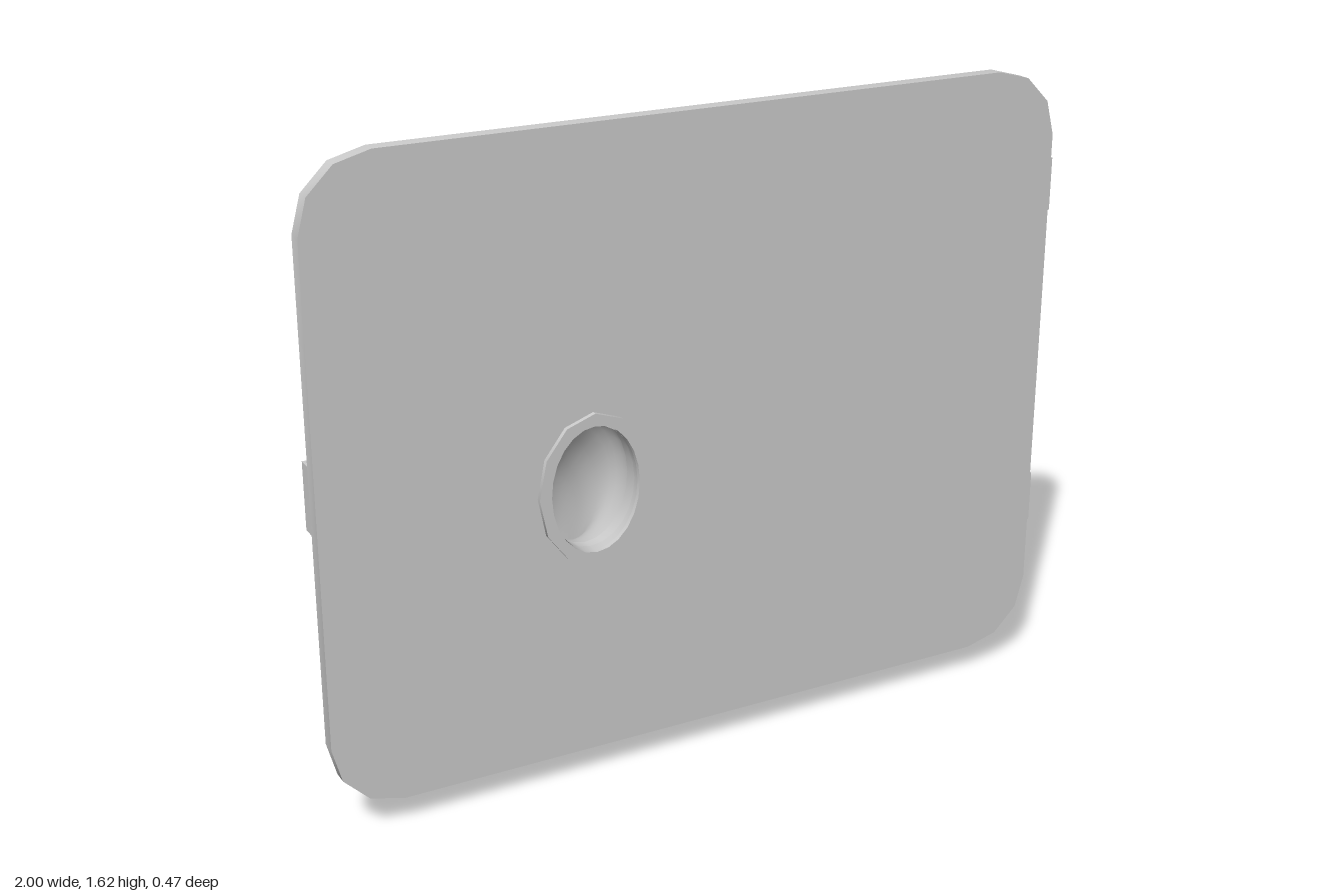
import * as THREE from 'three';
import { toCreasedNormals } from 'three/addons/utils/BufferGeometryUtils.js';

const CX = -0.325, CY = 0.757; // centre of the round opening

const grey = (side = THREE.FrontSide) => new THREE.MeshStandardMaterial({ color: 0xcccccc, side });

function part(name, geometry, side) {
  const mesh = new THREE.Mesh(geometry, grey(side));
  mesh.name = name;
  return mesh;
}

function ellipse(rx, ry, n, cx = CX, cy = CY) {
  return Array.from({ length: n }, (_, i) => {
    const a = (i / n) * Math.PI * 2;
    return new THREE.Vector2(cx + rx * Math.cos(a), cy + ry * Math.sin(a));
  });
}

// Plate with a hole, running from z0 to z1
function plate(outline, hole, z0, z1) {
  const shape = new THREE.Shape(outline);
  if (hole) shape.holes.push(new THREE.Path(hole));
  const g = new THREE.ExtrudeGeometry(shape, { depth: z1 - z0, bevelEnabled: false });
  g.translate(0, 0, z0);
  return toCreasedNormals(g, 0.6);
}

// Rectangle whose corners are arcs of a few straight steps
function roundedOutline(x0, y0, x1, y1, r, steps) {
  const pts = [];
  const corners = [[x1 - r, y1 - r], [x0 + r, y1 - r], [x0 + r, y0 + r], [x1 - r, y0 + r]];
  corners.forEach(([x, y], c) => {
    for (let i = 0; i <= steps; i++) {
      const a = (c + i / steps) * Math.PI / 2;
      pts.push(new THREE.Vector2(x + r * Math.cos(a), y + r * Math.sin(a)));
    }
  });
  return pts;
}

// Hollow curved horn lofted through elliptical sections
function hornGeometry() {
  // top z, top y, bottom z, bottom y, centre x, half width
  const sections = [
    [0.23, 0.913, 0.23, 0.6, -0.325, 0.113],
    [0.15, 0.913, 0.15, 0.592, -0.325, 0.115],
    [0.08, 0.85, 0.09, 0.565, -0.33, 0.1],
    [0, 0.77, 0.03, 0.5, -0.325, 0.082],
    [-0.07, 0.68, -0.04, 0.42, -0.315, 0.068],
    [-0.13, 0.55, -0.1, 0.33, -0.307, 0.056],
    [-0.19, 0.37, -0.15, 0.22, -0.3, 0.038],
    [-0.22, 0.2, -0.185, 0.12, -0.305, 0.025],
    [-0.235, 0.002, -0.213, 0, -0.31, 0.011],
  ];
  const curve = (f) => new THREE.CatmullRomCurve3(sections.map(f), false, 'catmullrom');
  const tops = curve((s) => new THREE.Vector3(s[4], s[1], s[0]));
  const bottoms = curve((s) => new THREE.Vector3(s[4], s[3], s[2]));
  const widths = curve((s, i) => new THREE.Vector3(i, s[5], 0));
  const rows = 24, sides = 24, pos = [], index = [];
  for (let i = 0; i <= rows + 1; i++) {
    const t = Math.min(i / rows, 1);
    const top = tops.getPoint(t), bottom = bottoms.getPoint(t);
    const mid = top.clone().add(bottom).multiplyScalar(0.5);
    const half = top.sub(mid);
    const k = i > rows ? 0 : 1; // the last row closes the tip
    const w = widths.getPoint(t).y;
    for (let j = 0; j < sides; j++) {
      const a = (j / sides) * Math.PI * 2;
      const p = mid.clone().addScaledVector(half, k * Math.cos(a));
      pos.push(p.x + k * w * Math.sin(a), p.y, p.z);
    }
  }
  for (let i = 0; i <= rows; i++) {
    for (let j = 0; j < sides; j++) {
      const a = i * sides + j, b = i * sides + ((j + 1) % sides);
      index.push(a, b, a + sides);
      if (i < rows) index.push(b, b + sides, a + sides);
    }
  }
  const g = new THREE.BufferGeometry();
  g.setAttribute('position', new THREE.Float32BufferAttribute(pos, 3));
  g.setIndex(index);
  return toCreasedNormals(g, 0.8);
}

// Hinge: sloping leaf on the back of the panel with a small tongue at the edge
function hinge(name, y) {
  const group = new THREE.Group();
  group.name = name;
  const profile = [[0.765, 0.192], [0.765, 0.178], [0.965, 0.158], [0.965, 0.188]]
    .map(([x, z]) => new THREE.Vector2(x, -z));
  const leaf = new THREE.ExtrudeGeometry(new THREE.Shape(profile), { depth: 0.172, bevelEnabled: false });
  leaf.rotateX(-Math.PI / 2);
  leaf.translate(0, y - 0.086, 0);
  const tongue = new THREE.BoxGeometry(0.045, 0.136, 0.022);
  tongue.translate(0.9775, y, 0.166);
  group.add(part('hingeLeaf', leaf), part('hingeTongue', tongue));
  return group;
}

export function createModel() {
  const model = new THREE.Group();
  model.name = 'hatchWithHorn';

  // Flat door panel with cut corners and an oval opening
  const bore = ellipse(0.118, 0.162, 24);
  model.add(part('panel', plate(roundedOutline(-1, 0.07, 0.955, 1.625, 0.172, 3), bore, 0.19, 0.228)));

  // Collar around the opening, proud of both faces
  model.add(part('collar', plate(ellipse(0.145, 0.19, 12), ellipse(0.114, 0.159, 24), 0.175, 0.24)));

  model.add(part('horn', hornGeometry(), THREE.DoubleSide));

  model.add(hinge('upperHinge', 1.309), hinge('lowerHinge', 0.447));

  // Latch block at the free edge, with a finger slot
  const latch = [[-1, 0.765], [-0.885, 0.765], [-0.865, 0.785], [-0.865, 0.91], [-0.885, 0.93], [-1, 0.93]];
  const slot = [[-0.925, 0.79], [-0.885, 0.79], [-0.885, 0.905], [-0.925, 0.905]];
  const toPts = (list) => list.map(([x, y]) => new THREE.Vector2(x, y));
  model.add(part('latch', plate(toPts(latch), toPts(slot), 0.155, 0.192)));

  return model;
}
